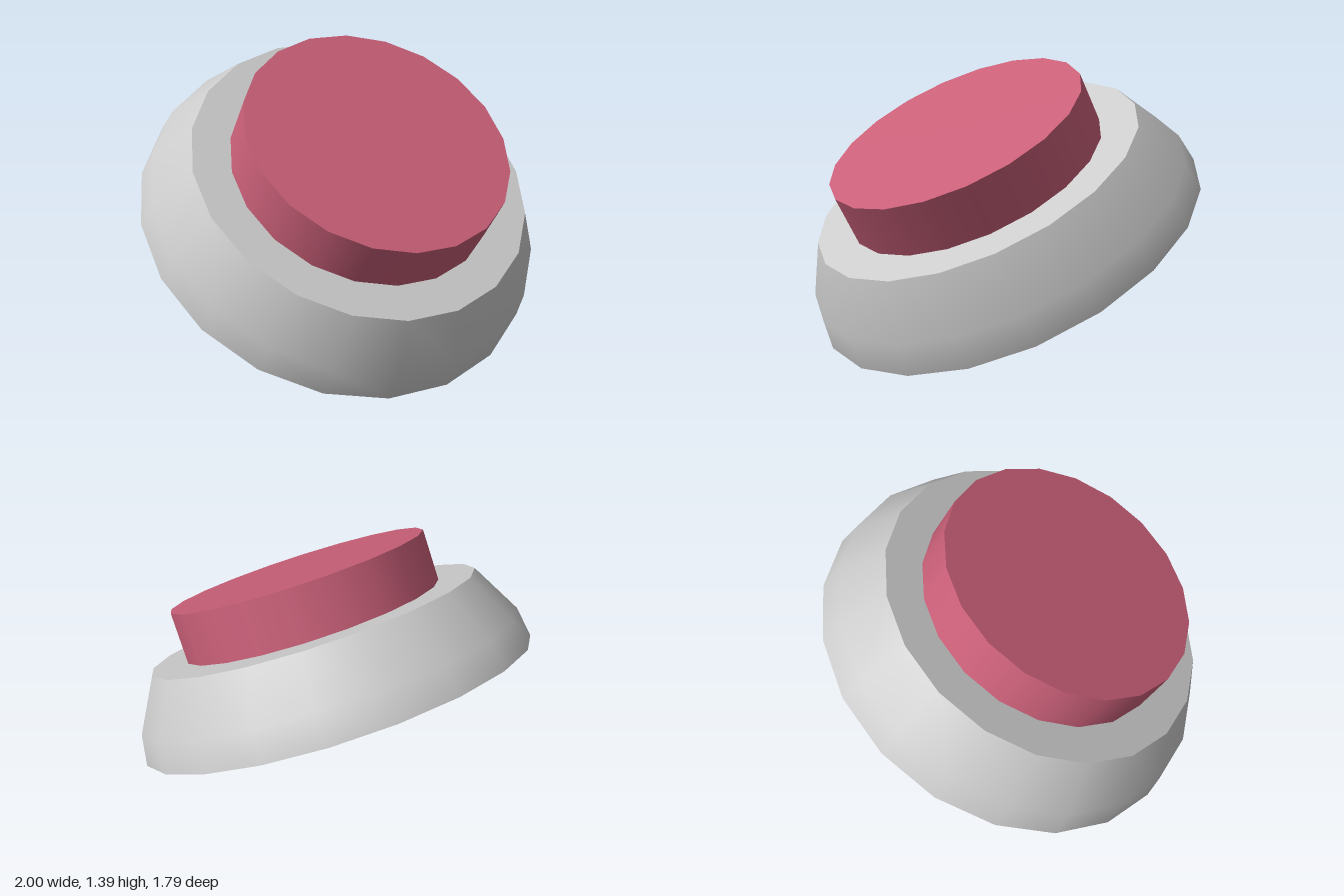
import * as THREE from 'three';

const SIDES = 20;

export function createModel() {
  const model = new THREE.Group();
  const grey = new THREE.MeshStandardMaterial({ color: 0xcccccc });
  const pink = new THREE.MeshStandardMaterial({ color: 0xc95f78 });

  // Everything shares one axis, leaning 30 degrees towards the front
  const tilted = new THREE.Group();
  tilted.name = 'tiltedButton';
  tilted.position.set(0, 0.5, -0.03);
  tilted.rotation.x = Math.PI / 6;
  model.add(tilted);

  const add = (name, geometry, material, y, parent) => {
    const mesh = new THREE.Mesh(geometry, material);
    mesh.name = name;
    mesh.position.y = y;
    parent.add(mesh);
  };

  // Domed base: smooth wall closed by two flat discs
  const base = new THREE.Group();
  base.name = 'base';
  tilted.add(base);
  const profile = [[1, 0], [0.975, 0.15], [0.835, 0.4]].map(([r, y]) => new THREE.Vector2(r, y));
  add('baseWall', new THREE.LatheGeometry(profile, SIDES), grey, 0, base);
  add('baseTop', new THREE.CircleGeometry(0.835, SIDES).rotateX(-Math.PI / 2), grey, 0.4, base);
  add('baseBottom', new THREE.CircleGeometry(1, SIDES).rotateX(Math.PI / 2), grey, 0, base);

  // Push button standing on the base
  add('button', new THREE.CylinderGeometry(0.65, 0.65, 0.255, SIDES), pink, 0.5275, tilted);

  return model;
}
